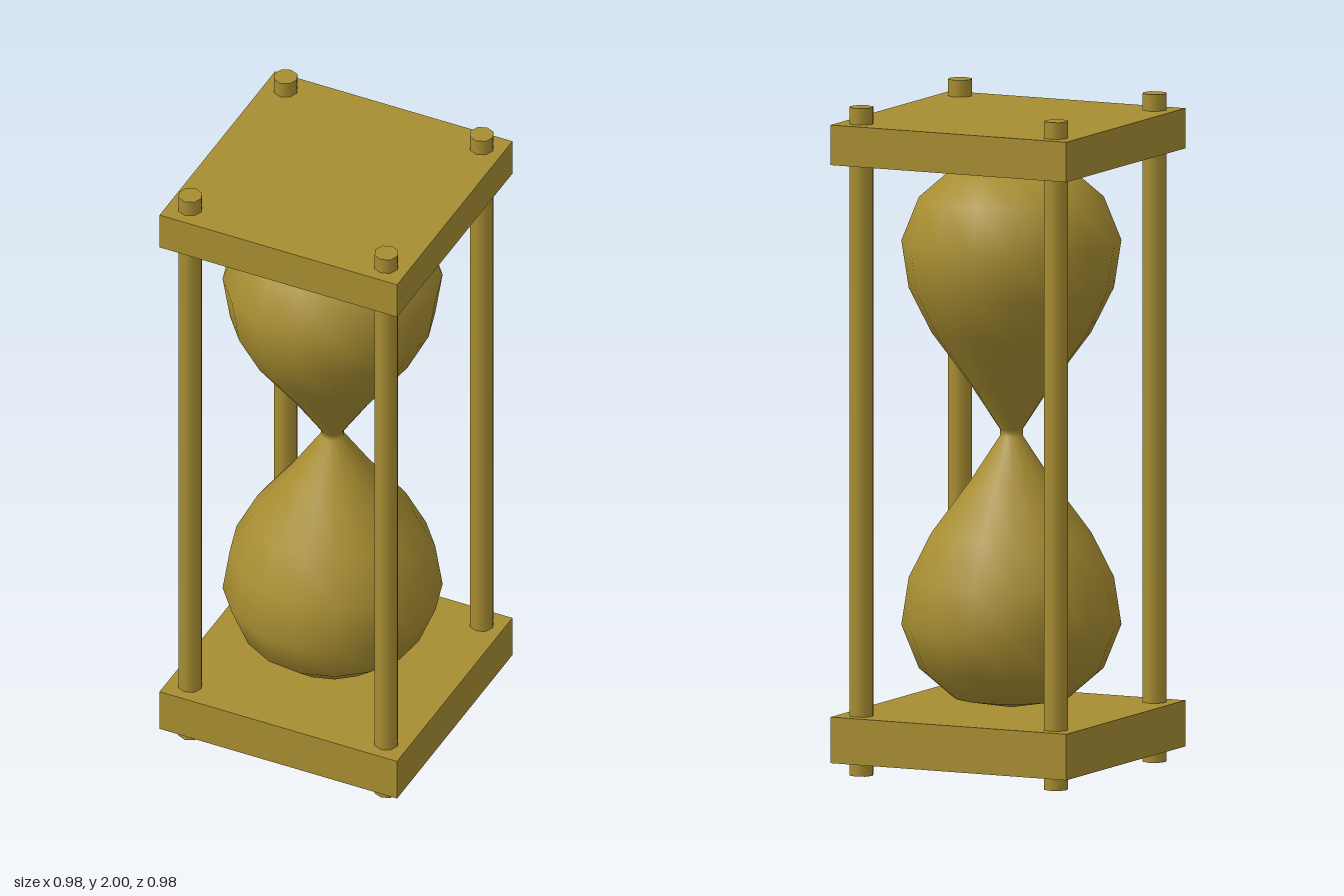
import * as THREE from 'three';

export function createModel() {
  const model = new THREE.Group();
  model.name = 'hourglass';
  const brass = new THREE.MeshStandardMaterial({ color: 0xa88e32 });

  const add = (parent, name, geometry, x, y, z) => {
    const mesh = new THREE.Mesh(geometry, brass);
    mesh.name = name;
    mesh.position.set(x, y, z);
    parent.add(mesh);
    return mesh;
  };

  // Frame, turned about the vertical axis
  const frame = new THREE.Group();
  frame.name = 'frame';
  frame.rotation.y = 0.302;
  model.add(frame);

  // Square end plates
  const side = 0.782;
  for (const [name, bottom, top] of [['bottomPlate', 0.04, 0.178], ['topPlate', 1.83, 1.95]]) {
    add(frame, name, new THREE.BoxGeometry(side, top - bottom, side), 0, (bottom + top) / 2, 0);
  }

  // Four eight-sided rods passing through both plates
  const rod = new THREE.CylinderGeometry(0.037, 0.037, 2, 8);
  for (const x of [-1, 1]) {
    for (const z of [-1, 1]) {
      add(frame, `${z > 0 ? 'front' : 'back'}${x > 0 ? 'Left' : 'Right'}Rod`, rod, x * 0.323, 1, z * 0.323);
    }
  }

  // Glass: half profile as [radius, height from the neck], mirrored for the lower bulb
  const half = [
    [0.034, 0.01], [0.12, 0.142], [0.237, 0.3], [0.304, 0.433],
    [0.326, 0.575], [0.274, 0.705], [0.175, 0.79], [0, 0.823],
  ];
  const profile = [
    ...half.map(([r, h]) => new THREE.Vector2(r, -h)).reverse(),
    ...half.map(([r, h]) => new THREE.Vector2(r, h)),
  ];
  add(model, 'glassBulbs', new THREE.LatheGeometry(profile, 16), -0.01, 1.006, 0.004);

  return model;
}
